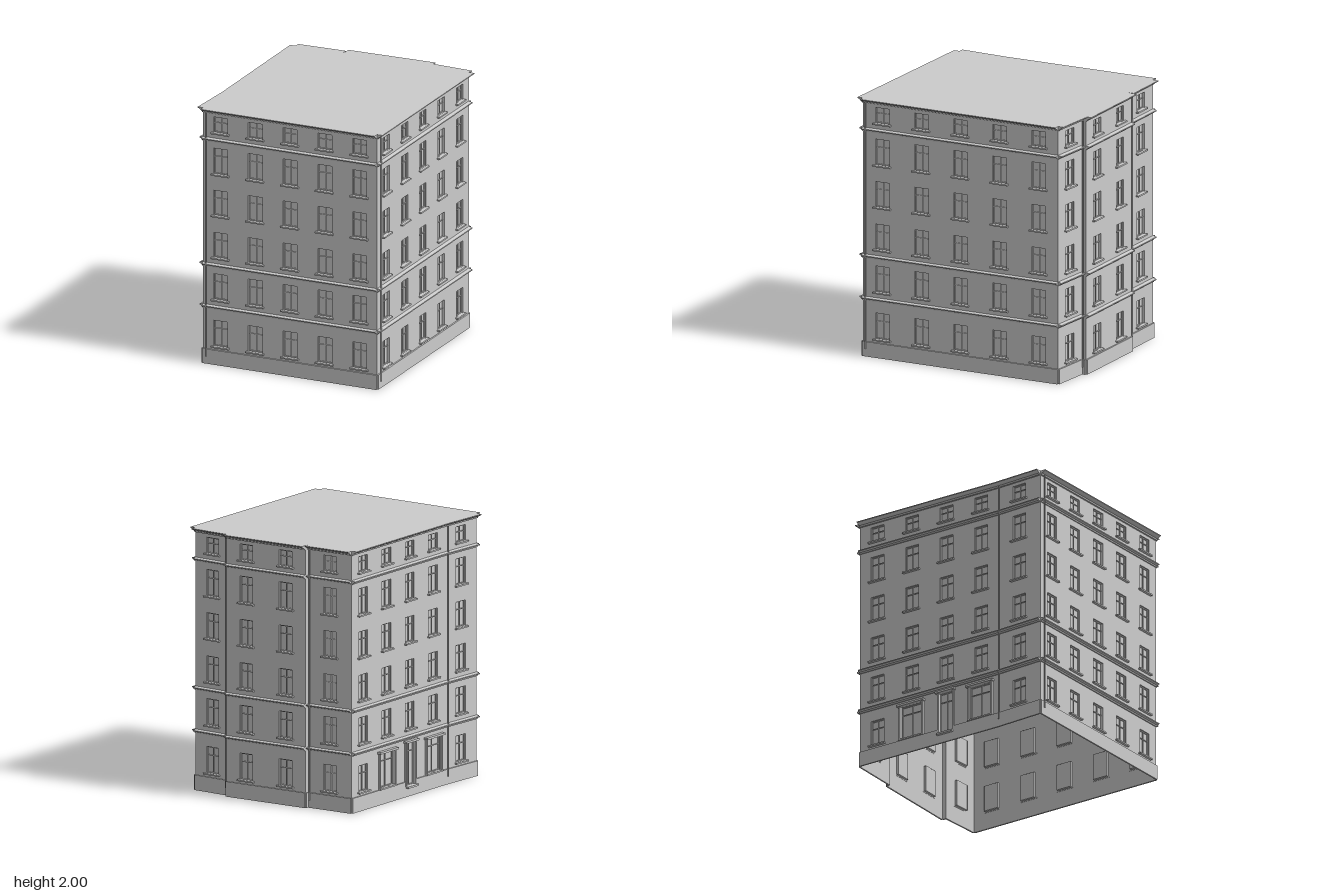
import * as THREE from 'three';

const grey = new THREE.MeshStandardMaterial({ color: 0xcccccc, flatShading: true, side: THREE.DoubleSide });

const H = 2, PLINTH = 0.115;
// bottom and height of each window row
const ROWS = [[0.145, 0.2], [0.51, 0.2], [0.84, 0.195], [1.17, 0.195], [1.495, 0.2], [1.82, 0.12]];
// moulding sections as [distance from wall, height]
const BELT = [[0, -0.018], [0.008, -0.018], [0.012, -0.008], [0.03, -0.002], [0.03, 0.006], [0, 0.012]];
const CORNICE = [[0, 1.965], [0.01, 1.967], [0.014, 1.978], [0.028, 1.984], [0.036, 1.99], [0.045, 1.993], [0.045, H], [0, H]];

function add(parent, name, geo, x = 0, y = 0, z = 0) {
  const m = new THREE.Mesh(geo, grey);
  m.name = name;
  m.position.set(x, y, z);
  parent.add(m);
  return m;
}

function rectPoints(x, y, w, h) {
  return [[x, y], [x + w, y], [x + w, y + h], [x, y + h]].map(p => new THREE.Vector2(...p));
}

// flat ring: outer rectangle with rectangular holes, given depth
function panel(outer, holes, depth) {
  const s = new THREE.Shape(rectPoints(...outer));
  holes.forEach(h => s.holes.push(new THREE.Path(rectPoints(...h).reverse())));
  return depth ? new THREE.ExtrudeGeometry(s, { depth, bevelEnabled: false }) : new THREE.ShapeGeometry(s);
}

// section swept along the wall from x0 to x1
function moulding(section, x0, x1) {
  const s = new THREE.Shape(section.map(p => new THREE.Vector2(...p)));
  const g = new THREE.ExtrudeGeometry(s, { depth: x1 - x0, bevelEnabled: false });
  return g.rotateY(-Math.PI / 2).translate(x1, 0, 0);
}

// reveal, casement with mullion and transom, and pane; origin at bottom centre
function addOpening(parent, name, x, y, w, h, transom, sill) {
  const g = new THREE.Group();
  g.name = name;
  g.position.set(x, y, 0);
  const t = 0.006, half = w / 2, split = h * transom, inner = half - 1.5 * t;
  add(g, 'reveal', panel([-half - 0.003, -0.003, w + 0.006, h + 0.006], [[-half, 0, w, h]], 0.02), 0, 0, -0.0205);
  const holes = [];
  for (const hx of [-half + t, t / 2]) {
    holes.push([hx, t, inner, split - 1.5 * t], [hx, split + t / 2, inner, h - split - 1.5 * t]);
  }
  add(g, 'casement', panel([-half, 0, w, h], holes, 0.008), 0, 0, -0.019);
  add(g, 'pane', new THREE.PlaneGeometry(w, h), 0, h / 2, -0.02);
  if (sill) {
    add(g, 'sill', new THREE.BoxGeometry(w + 0.03, 0.011, 0.024), 0, -0.006, 0.01);
  }
  parent.add(g);
}

// one facade in its own frame: x along the wall, z outward
function facade(name, a, b, bays, options = {}) {
  const dx = b[0] - a[0], dz = b[1] - a[1], L = Math.hypot(dx, dz);
  const g = new THREE.Group();
  g.name = name;
  g.position.set(a[0], 0, a[1]);
  g.rotation.y = Math.atan2(-dz, dx);

  const openings = [];
  for (let i = 0; i < bays; i++) {
    const x = L * (i + 0.5) / bays;
    ROWS.forEach(([y, h], row) => {
      const kind = row === 0 && options.ground ? options.ground[i] : 'window';
      if (kind === 'door') openings.push({ kind, x, y: 0.08, w: 0.12, h: 0.33, transom: 0.78 });
      else if (kind === 'shopWindow') openings.push({ kind, x, y: 0.125, w: 0.19, h: 0.265, transom: 0.75, sill: true });
      else openings.push({ kind, x, y, w: 0.118, h, transom: row === 5 ? 0.62 : 0.68, sill: true });
    });
  }
  add(g, 'wall', panel([0, 0, L, H], openings.map(o => [o.x - o.w / 2, o.y, o.w, o.h])));
  openings.forEach(o => {
    addOpening(g, o.kind, o.x, o.y, o.w, o.h, o.transom, o.sill);
    if (o.kind === 'window') return;
    // raised surround and hood on the ground floor
    const top = o.y + o.h;
    const edge = 0.014;
    for (const s of [-1, 1]) {
      add(g, 'surround', new THREE.BoxGeometry(edge, o.h, 0.016), o.x + s * (o.w + edge) / 2, o.y + o.h / 2, 0.008);
    }
    add(g, 'hood', new THREE.BoxGeometry(o.w + 0.05, 0.016, 0.03), o.x, top + 0.008, 0.015);
  });

  // plinth, lowered under a door
  const base = (x0, x1, h) => add(g, 'plinth', moulding([[0, 0], [0.012, 0], [0.012, h], [0, h]], x0, x1));
  const door = openings.find(o => o.kind === 'door');
  if (door) {
    const l = door.x - door.w / 2, r = door.x + door.w / 2;
    base(0, l, PLINTH);
    base(l, r, door.y);
    base(r, L, PLINTH);
    add(g, 'doorStep', new THREE.BoxGeometry(door.w + 0.02, 0.014, 0.035), door.x, door.y - 0.007, 0.0175);
  } else base(0, L, PLINTH);

  // belts and top cornice
  if (bays) {
    for (const y of [0.452, 0.78, 1.763]) add(g, 'beltCourse', moulding(BELT, 0, L).translate(0, y, 0));
    add(g, 'cornice', moulding(CORNICE, 0, L));
  }
  if (options.pipe !== undefined) {
    const x = options.pipe < 0 ? L + options.pipe : options.pipe;
    add(g, 'downpipe', new THREE.CylinderGeometry(0.006, 0.006, 1.91, 8), x, 1.015, 0.019);
  }
  return g;
}

export function createModel() {
  const model = new THREE.Group();
  model.name = 'cornerBuilding';

  // plan corners [x, z], running round from the front left
  const P = [
    [-0.593, 0.908], [0.845, 0.722], [0.577, -0.902],
    [0.25, -0.877], [0.247, -0.912], [-0.46, -0.802], [-0.464, -0.772],
    [-0.85, -0.71], [-0.64, 0.515],
  ];
  const walls = [
    ['frontFacade', 5, { pipe: 0.03 }],
    ['rightFacade', 5, { pipe: 0.03 }],
    ['backFacadeLeft', 1, { pipe: -0.02 }],
    ['bayReturn', 0],
    ['backBay', 2],
    ['bayReturn', 0],
    ['backFacadeRight', 1, { pipe: 0.02 }],
    ['entranceFacade', 4, { ground: ['window', 'shopWindow', 'door', 'shopWindow'] }],
    ['leftFacadeEnd', 1, { pipe: 0.02 }],
  ];
  walls.forEach(([name, bays, options], i) => {
    model.add(facade(name, P[i], P[(i + 1) % P.length], bays, options));
  });

  // flat roof inside the cornices
  const roof = new THREE.ShapeGeometry(new THREE.Shape(P.map(([x, z]) => new THREE.Vector2(x, -z))));
  add(model, 'roof', roof.rotateX(-Math.PI / 2), 0, H, 0);
  return model;
}
